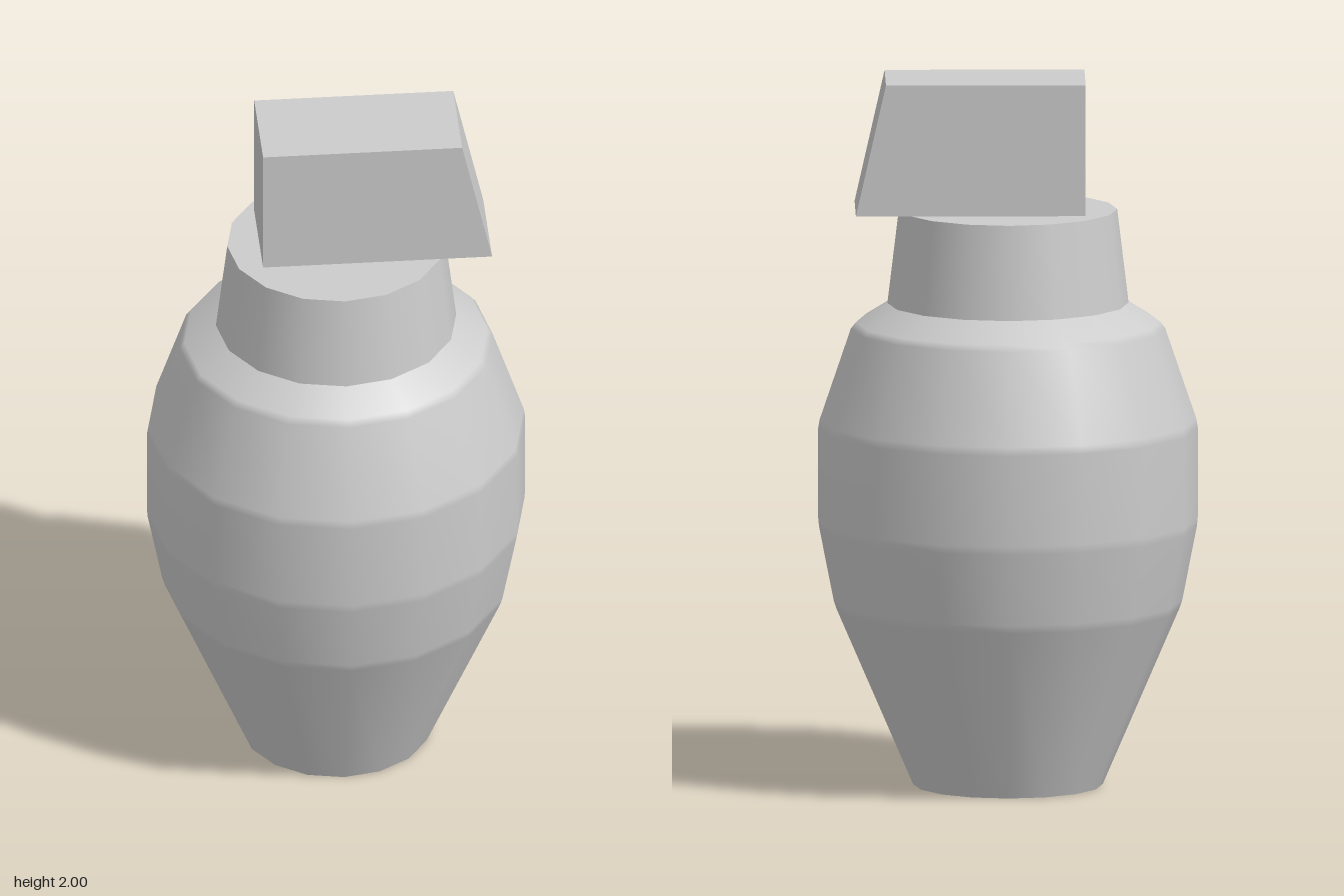
import * as THREE from 'three';

const SIDES = 16;

// Softens each inner corner of a profile with a narrow bevel, so bands shade evenly
function bevelProfile(points, d) {
  const out = [points[0]];
  for (let i = 1; i < points.length - 1; i++) {
    const p = points[i];
    for (const q of [points[i - 1], points[i + 1]]) {
      out.push(p.clone().add(q.clone().sub(p).setLength(d)));
    }
  }
  out.push(points[points.length - 1]);
  return out;
}

export function createModel() {
  const group = new THREE.Group();
  const grey = new THREE.MeshStandardMaterial({ color: 0xcccccc });
  const add = (name, geometry) => {
    const mesh = new THREE.Mesh(geometry, grey);
    mesh.name = name;
    group.add(mesh);
    return mesh;
  };

  // Faceted barrel body, widest in the middle
  const profile = [[0.265, 0], [0.485, 0.51], [0.53, 0.74], [0.53, 1.02], [0.435, 1.3], [0.33, 1.365]]
    .map(([x, y]) => new THREE.Vector2(x, y));
  add('body', new THREE.LatheGeometry(bevelProfile(profile, 0.012), SIDES));

  // Flat base with a small centre hole
  const base = add('base', new THREE.RingGeometry(0.012, 0.265, SIDES));
  base.rotation.x = Math.PI / 2;

  // Tapered neck
  const neck = add('neck', new THREE.CylinderGeometry(0.305, 0.337, 0.265, SIDES));
  neck.position.y = 1.4925;

  // Head block with one sloping end
  const side = new THREE.Shape([[-0.215, 1.63], [0.427, 1.63], [0.343, 2], [-0.215, 2]]
    .map(([x, y]) => new THREE.Vector2(x, y)));
  const head = add('headBlock', new THREE.ExtrudeGeometry(side, { depth: 0.287, bevelEnabled: false }));
  head.position.z = -0.164;

  return group;
}
